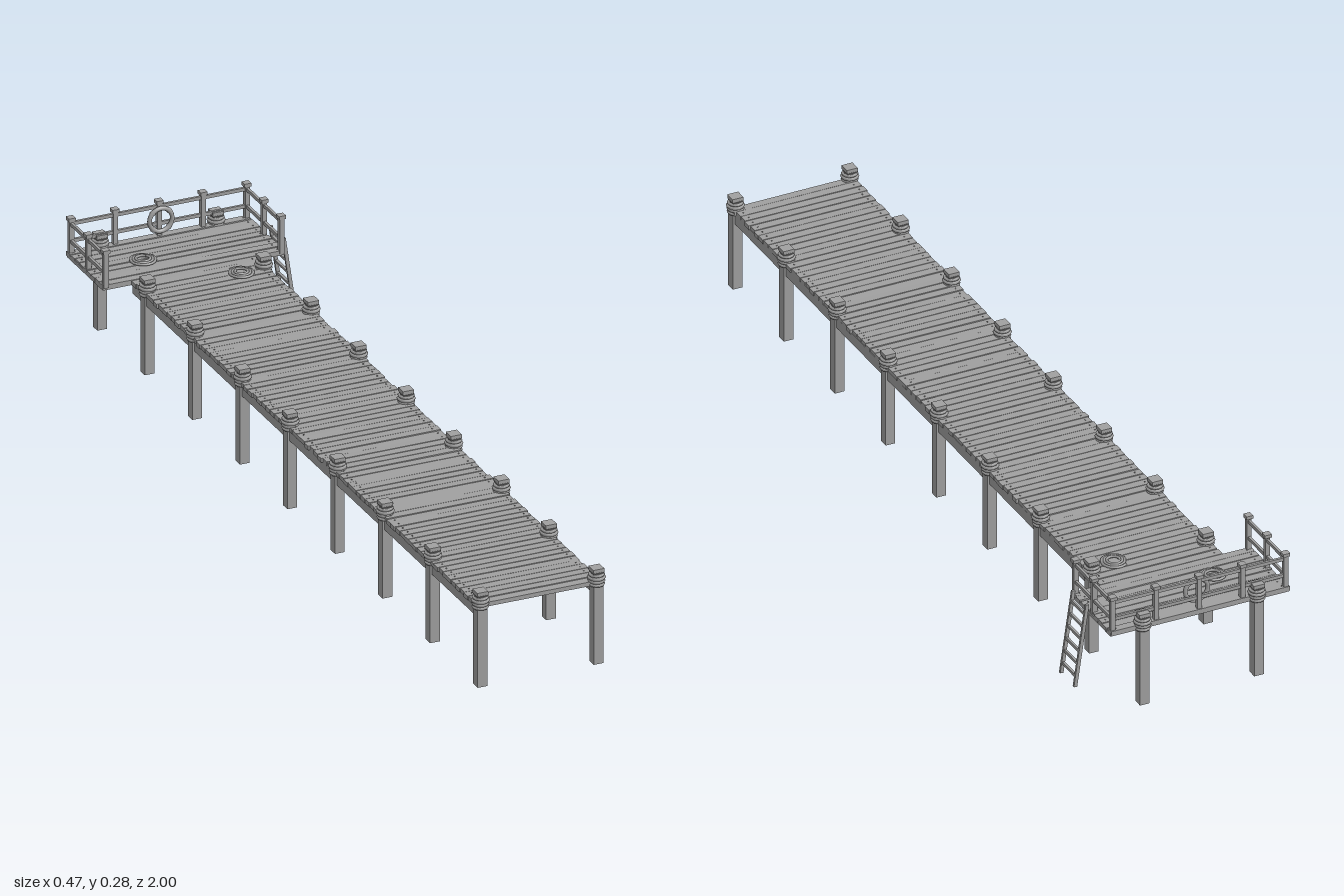
import * as THREE from 'three';

export function createModel() {
  const pier = new THREE.Group();
  pier.name = 'pier';
  const wood = new THREE.MeshStandardMaterial({ color: 0xa0a0a0 });
  wood.name = 'weathered grey';

  let seed = 7;
  const rand = () => {
    seed = (seed * 16807) % 2147483647;
    return seed / 2147483647 - 0.5;
  };
  const add = (parent, name, geo, x, y, z) => {
    const m = new THREE.Mesh(geo, wood);
    m.name = name;
    m.position.set(x, y, z);
    parent.add(m);
    return m;
  };
  const box = (parent, name, w, h, d, x, y, z) =>
    add(parent, name, new THREE.BoxGeometry(w, h, d), x, y, z);
  const group = (name) => {
    const g = new THREE.Group();
    g.name = name;
    pier.add(g);
    return g;
  };
  const ring = (radius, tube, sides = 12) =>
    new THREE.TorusGeometry(radius, tube, 6, sides).rotateX(Math.PI / 2);

  const sideX = [-0.157, 0.118];
  const midX = -0.02;

  // Piles with flared caps and rope lashings
  const capGeo = new THREE.CylinderGeometry(0.0185, 0.014, 0.008, 4).rotateY(Math.PI / 4);
  const lashings = [[0.188, 0.0155, 0.0035], [0.196, 0.0155, 0.004],
    [0.2035, 0.0168, 0.004], [0.2105, 0.0152, 0.0035]];
  const piles = group('piles');
  for (const x of sideX) {
    for (let i = 0; i < 9; i++) {
      const z = 0.98 - i * 0.245;
      box(piles, 'pile', 0.023, 0.214, 0.023, x, 0.107, z);
      add(piles, 'pileCapFlare', capGeo, x, 0.214, z);
      box(piles, 'pileCap', 0.026, 0.009, 0.026, x, 0.2215, z);
      for (const [y, r, t] of lashings) add(piles, 'pileLashing', ring(r, t), x, y, z);
    }
    // Long beam under each edge of the walkway
    box(piles, 'stringer', 0.014, 0.025, 1.78, x, 0.1755, 0.092);
  }

  // Uneven boards laid across, with a nail at each end
  const nailGeo = new THREE.CylinderGeometry(0.0016, 0.0016, 0.002, 6);
  const layDeck = (name, x0, x1, z0, z1, count) => {
    const deck = group(name);
    const pitch = (z1 - z0) / count;
    for (let i = 0; i < count; i++) {
      const z = z0 + pitch * (i + 0.5);
      const y = 0.1915 + rand() * 0.0015;
      const board = box(deck, 'board', x1 - x0 + rand() * 0.005, 0.01, pitch - 0.002,
        (x0 + x1) / 2 + rand() * 0.003, y, z);
      board.rotation.set(rand() * 0.05, rand() * 0.006, rand() * 0.004);
      for (const x of [x0 + 0.014, x1 - 0.014]) {
        add(deck, 'nail', nailGeo, x + rand() * 0.004, y + 0.0055, z);
      }
    }
  };
  layDeck('walkwayDeck', -0.167, 0.126, -0.793, 0.985, 80);
  layDeck('platformDeck', -0.235, 0.195, -0.984, -0.793, 9);

  // Frame beneath the end platform
  const frame = group('platformFrame');
  for (const z of [-0.975, -0.888, -0.801]) {
    box(frame, 'platformJoist', 0.428, 0.008, 0.012, midX, 0.188, z);
  }
  for (const x of [-0.229, 0.189]) {
    box(frame, 'platformEdge', 0.012, 0.008, 0.186, x, 0.188, -0.888);
  }

  // Railing on three sides
  const railing = group('railing');
  const railPost = (x, z) => {
    box(railing, 'railPost', 0.011, 0.085, 0.011, x, 0.232, z);
    box(railing, 'railPostCap', 0.016, 0.008, 0.016, x, 0.276, z);
  };
  const backZ = -0.975, frontZ = -0.797;
  for (let i = 0; i < 5; i++) railPost(-0.228 + i * 0.104, backZ);
  for (const x of [-0.228, 0.188]) {
    railPost(x, (backZ + frontZ) / 2);
    railPost(x, frontZ);
  }
  for (const y of [0.224, 0.265]) {
    box(railing, 'backRail', 0.416, 0.008, 0.006, midX, y, backZ);
    for (const x of [-0.228, 0.188]) {
      box(railing, 'sideRail', 0.006, 0.008, 0.178, x, y, (backZ + frontZ) / 2);
    }
  }

  // Life ring hung inside the back railing
  const lifeRing = group('lifeRing');
  lifeRing.position.set(midX, 0.237, -0.964);
  add(lifeRing, 'ringBody', new THREE.TorusGeometry(0.027, 0.0052, 8, 28), 0, 0, 0);
  for (let i = 0; i < 4; i++) {
    const band = add(lifeRing, 'ringBand',
      new THREE.TorusGeometry(0.027, 0.0062, 8, 3, 0.28), 0, 0, 0);
    band.rotation.z = Math.PI / 4 + i * Math.PI / 2 - 0.14;
  }

  // Leaning ladder
  const ladder = group('ladder');
  const top = new THREE.Vector2(0.202, 0.214);
  const foot = new THREE.Vector2(0.231, 0.016);
  const lean = Math.atan2(foot.x - top.x, top.y - foot.y);
  ladder.position.set((top.x + foot.x) / 2, (top.y + foot.y) / 2, -0.848);
  ladder.rotation.z = lean;
  for (const z of [-0.033, 0.033]) box(ladder, 'ladderSide', 0.008, 0.2, 0.006, 0, 0, z);
  for (let i = 0; i < 6; i++) {
    box(ladder, 'ladderRung', 0.006, 0.006, 0.066, 0, -0.075 + i * 0.03, 0);
  }

  // Rope coils lying on the deck
  const coilRope = (x, z, turn) => {
    const points = [];
    for (let i = 0; i <= 60; i++) {
      const a = i / 60 * Math.PI * 6;
      const r = 0.029 - 0.017 * i / 60;
      points.push(new THREE.Vector3(Math.cos(a) * r, 0.004 * i / 60, Math.sin(a) * r));
    }
    const geo = new THREE.TubeGeometry(new THREE.CatmullRomCurve3(points), 120, 0.0032, 6);
    add(pier, 'ropeCoil', geo, x, 0.2, z).rotation.y = turn;
  };
  coilRope(-0.107, -0.87, 0.4);
  coilRope(0.058, -0.722, 2.2);

  return pier;
}
